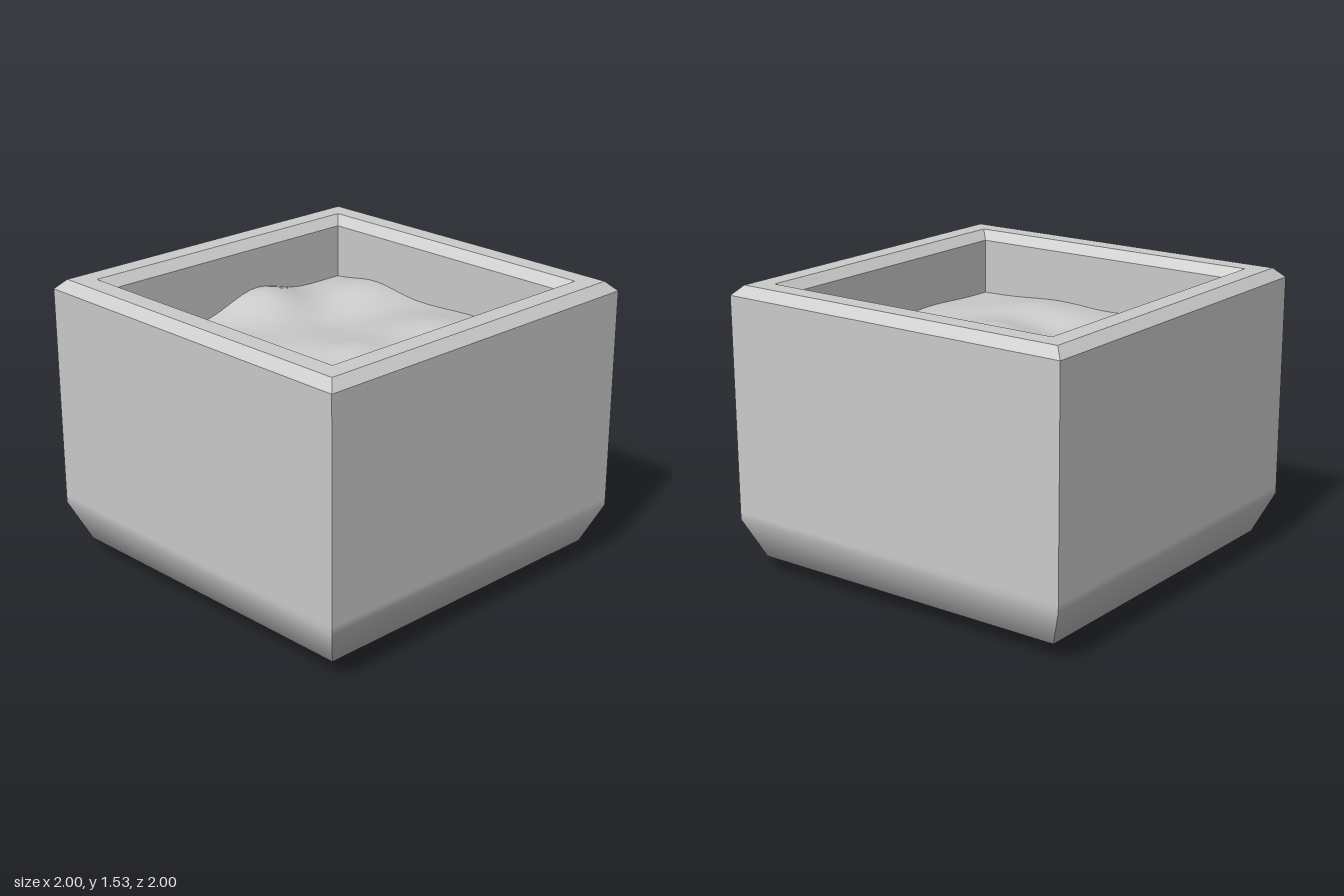
import * as THREE from 'three';
import { toCreasedNormals } from 'three/addons/utils/BufferGeometryUtils.js';

const material = new THREE.MeshStandardMaterial({ color: 0xcccccc });

// Square shell: a four-sided lathe of [half width, height] points
function squareLathe(profile) {
  const points = profile.map(([r, y]) => new THREE.Vector2(r * Math.SQRT2, y));
  const geometry = new THREE.LatheGeometry(points, 4).rotateY(Math.PI / 4);
  return toCreasedNormals(geometry, 0.77);
}

// Soft mounds and hollows: [x, z, height, radius]
const mounds = [
  [-0.7, -0.62, 0.06, 0.27],
  [-0.55, -0.3, 0.04, 0.26],
  [0.18, -0.72, 0.09, 0.23],
  [-0.25, -0.75, -0.03, 0.2],
  [0.72, -0.5, 0.05, 0.22],
  [0.28, -0.32, -0.03, 0.22],
  [0.48, 0.25, 0.07, 0.3],
  [-0.06, 0.2, 0.06, 0.23],
  [-0.35, 0.02, -0.03, 0.18],
  [-0.58, 0.28, 0.05, 0.26],
  [-0.3, 0.7, 0.02, 0.25],
];

function soilHeight(x, z) {
  return mounds.reduce(
    (y, [mx, mz, h, r]) => y + h * Math.exp(-((x - mx) ** 2 + (z - mz) ** 2) / (r * r)),
    1.18
  );
}

export function createModel() {
  const model = new THREE.Group();

  // Planter box: tapered base, straight walls, chamfered rim, inner walls
  const box = new THREE.Mesh(squareLathe([
    [0, 0], [0.7, 0], [0.91, 0.09],
    [1, 0.3], [1, 0.34], [1, 1.48],
    [0.95, 1.53], [0.845, 1.53], [0.795, 1.48], [0.795, 1.14],
  ]), material);
  box.name = 'planterBox';
  model.add(box);

  // Uneven soil filling the box
  const soilGeometry = new THREE.PlaneGeometry(1.59, 1.59, 40, 40).rotateX(-Math.PI / 2);
  const position = soilGeometry.attributes.position;
  for (let i = 0; i < position.count; i++) {
    position.setY(i, soilHeight(position.getX(i), position.getZ(i)));
  }
  soilGeometry.computeVertexNormals();
  const soil = new THREE.Mesh(soilGeometry, material);
  soil.name = 'soil';
  model.add(soil);

  return model;
}
